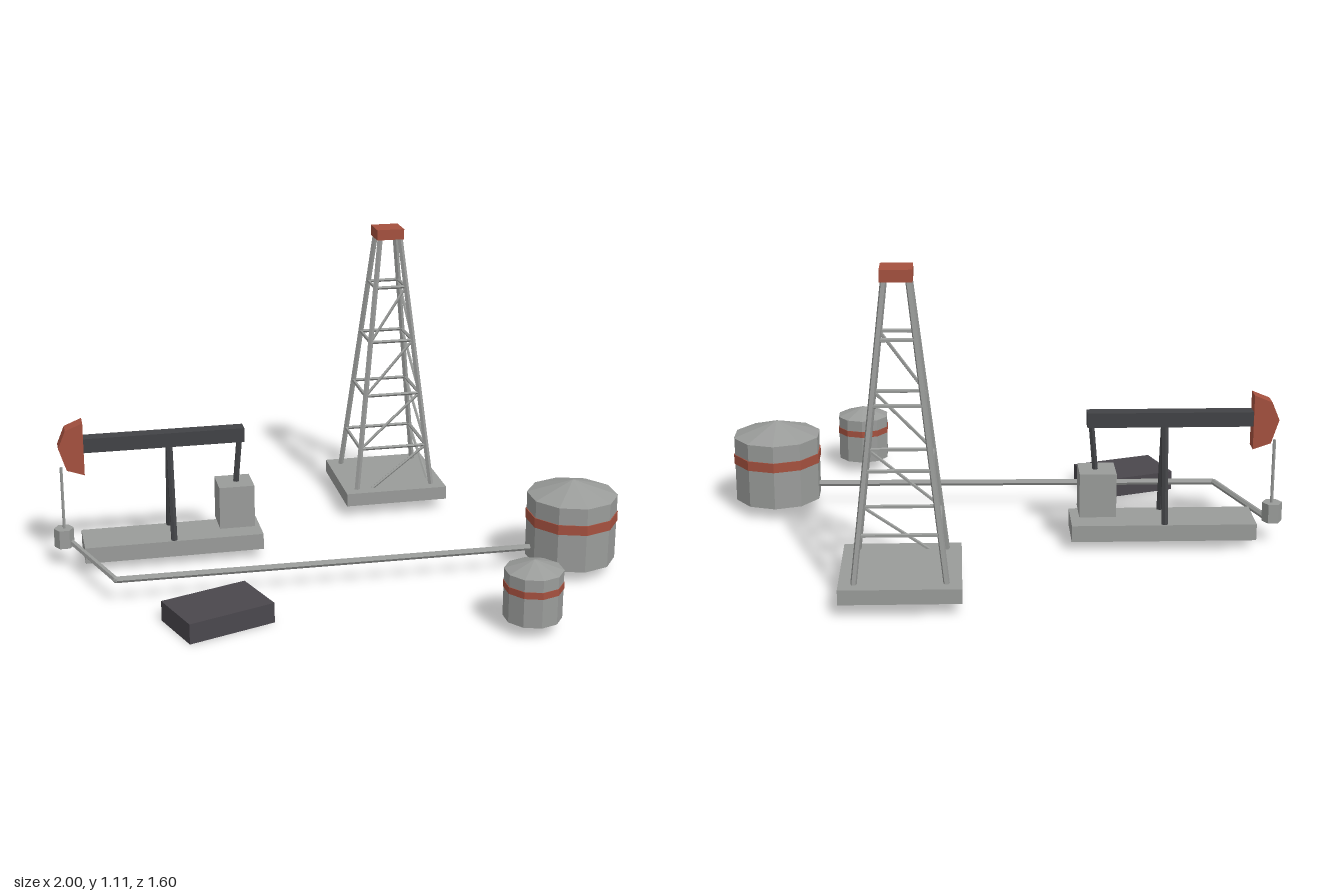
import * as THREE from 'three';

const paint = (name, color) => {
  const m = new THREE.MeshStandardMaterial({ color });
  m.name = name;
  return m;
};

export function createModel() {
  const steel = paint('grey steel', 0x9a9c9a);
  const dark = paint('dark steel', 0x424346);
  const crateDark = paint('dark crate', 0x4a474d);
  const red = paint('faded red', 0xa5513f);
  const V = (x, y, z) => new THREE.Vector3(x, y, z);

  // Faceted mesh: unshared corners give flat faces
  const add = (parent, name, geometry, material, pos = V(0, 0, 0)) => {
    const g = geometry.index ? geometry.toNonIndexed() : geometry;
    g.computeVertexNormals();
    const mesh = new THREE.Mesh(g, material);
    mesh.name = name;
    mesh.position.copy(pos);
    parent.add(mesh);
    return mesh;
  };
  const box = (parent, name, w, h, d, material, pos) =>
    add(parent, name, new THREE.BoxGeometry(w, h, d), material, pos);

  // Straight bar between two points
  const bar = (parent, name, a, b, r, material, sides = 6) => {
    const dir = b.clone().sub(a);
    const mesh = add(parent, name, new THREE.CylinderGeometry(r, r, dir.length(), sides),
      material, a.clone().add(b).multiplyScalar(0.5));
    mesh.quaternion.setFromUnitVectors(V(0, 1, 0), dir.normalize());
    return mesh;
  };
  const group = (name, x, z) => {
    const g = new THREE.Group();
    g.name = name;
    g.position.set(x, 0, z);
    model.add(g);
    return g;
  };

  const model = new THREE.Group();
  model.name = 'oilField';

  // Derrick: slab, four leaning legs, rings, braces on the front and left faces
  const derrick = group('derrick', 0.35, -0.602);
  box(derrick, 'derrickBase', 0.402, 0.051, 0.402, steel, V(0, 0.07, 0));
  box(derrick, 'derrickCap', 0.106, 0.04, 0.106, red, V(0, 1.09, 0));
  const y0 = 0.045, step = 0.21;
  const corner = (i, level) => {
    const s = 0.156 - 0.0238 * level;
    const [sx, sz] = [[-1, 1], [1, 1], [1, -1], [-1, -1]][i % 4];
    return V(sx * s, y0 + step * level, sz * s);
  };
  for (let i = 0; i < 4; i++) {
    bar(derrick, 'derrickLeg', corner(i, 0), corner(i, 5), 0.011, steel, 5);
    for (let level = 1; level <= 4; level++) {
      bar(derrick, 'derrickRing', corner(i, level), corner(i + 1, level), 0.007, steel, 5);
      if (i < 2) bar(derrick, 'derrickBrace', corner(i, level - 1), corner(i + 1, level), 0.006, steel, 5);
    }
  }

  // Pump jack
  const pump = group('pumpJack', 0, -0.167);
  box(pump, 'pumpBase', 0.655, 0.06, 0.18, steel, V(-0.568, 0.065, 0));
  box(pump, 'walkingBeam', 0.585, 0.053, 0.052, dark, V(-0.588, 0.464, 0));
  box(pump, 'gearbox', 0.13, 0.16, 0.127, steel, V(-0.333, 0.198, 0));
  for (const s of [-1, 1]) {
    bar(pump, 'supportLeg', V(-0.57, 0.09, s * 0.077), V(-0.57, 0.445, s * 0.01), 0.0125, dark);
  }
  bar(pump, 'crankArm', V(-0.327, 0.27, 0), V(-0.311, 0.445, 0), 0.011, dark);

  // Curved head on the beam, over the well
  const headShape = new THREE.Shape([[-0.88, 0.355], [-0.88, 0.553], [-0.943, 0.527],
    [-0.97, 0.462], [-0.943, 0.377]].map(([x, y]) => new THREE.Vector2(x, y)));
  add(pump, 'horseHead', new THREE.ExtrudeGeometry(headShape, { depth: 0.062, bevelEnabled: false }),
    red, V(0, 0, -0.031));
  bar(pump, 'polishedRod', V(-0.962, 0.13, 0), V(-0.962, 0.38, 0), 0.006, steel);
  const well = add(pump, 'wellhead', new THREE.CylinderGeometry(0.036, 0.036, 0.07, 6), steel,
    V(-0.964, 0.11, 0));
  well.rotation.y = Math.PI / 6;

  // Pipeline from well to large tank
  const elbow = V(-0.81, 0.09, 0.21);
  bar(model, 'pipeline', V(-0.94, 0.09, -0.167), elbow, 0.0115, steel);
  bar(model, 'pipeline', elbow, V(0.72, 0.09, 0.236), 0.0115, steel);
  add(model, 'pipeElbow', new THREE.IcosahedronGeometry(0.0125, 0), steel, elbow);

  // Ten-sided storage tanks with a cone roof and a red band
  const tank = (name, x, z, r, eave, apex, low, high) => {
    const g = group(name, x, z);
    const ring = (part, top, bottom, from, to, material) =>
      add(g, part, new THREE.CylinderGeometry(top, bottom, to - from, 10), material,
        V(0, (from + to) / 2, 0));
    ring('tankBody', r, r, 0.045, eave, steel);
    add(g, 'tankRoof', new THREE.ConeGeometry(r * 1.01, apex - eave, 10), steel,
      V(0, (apex + eave) / 2, 0));
    ring('tankBand', r * 1.022, r * 1.022, low, high, red);
  };
  tank('largeTank', 0.838, 0.237, 0.162, 0.288, 0.341, 0.188, 0.224);
  tank('smallTank', 0.54, 0.698, 0.1, 0.217, 0.252, 0.15, 0.174);

  // Loose crate
  const crate = box(model, 'crate', 0.322, 0.073, 0.213, crateDark, V(-0.487, 0.0365, 0.426));
  crate.rotation.y = 0.335;

  return model;
}
